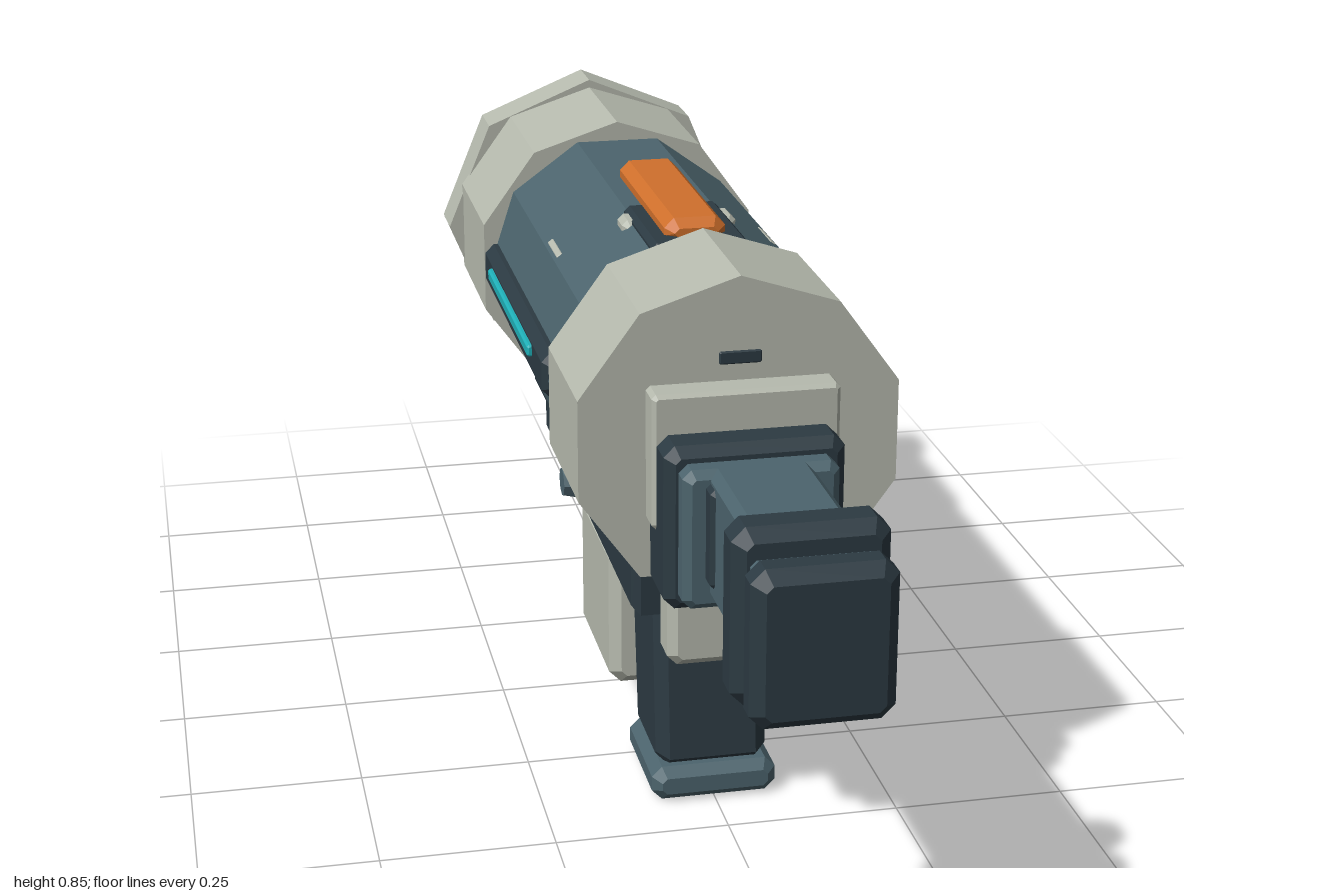
import * as THREE from 'three';

const paint = (name, color) => {
  const m = new THREE.MeshStandardMaterial({ color });
  m.name = name;
  return m;
};

export function createModel() {
  const slate = paint('slate', 0x4c646d), dark = paint('dark slate', 0x2c3a42);
  const grey = paint('warm grey', 0xb6baae), orange = paint('orange', 0xd0702c);
  const teal = paint('teal', 0x1fb0b8);
  const model = new THREE.Group();
  model.name = 'blaster';

  const add = (name, geo, mat) => {
    const mesh = new THREE.Mesh(geo, mat);
    mesh.name = name;
    model.add(mesh);
    return mesh;
  };
  const shapeOf = (pts) => new THREE.Shape(pts.map(([x, y]) => new THREE.Vector2(x, y)));

  // Regular polygon around (0, cy); first corner at the given angle from the top
  const ngon = (n, r, cy, start = 0) => Array.from({ length: n }, (_, i) => {
    const a = start - (i / n) * Math.PI * 2;
    return [r * Math.sin(a), cy + r * Math.cos(a)];
  });

  // Cross-section in x,y pulled along z
  const prism = (name, mat, pts, z0, z1) => {
    const g = new THREE.ExtrudeGeometry(shapeOf(pts), { depth: z1 - z0, bevelEnabled: false });
    return add(name, g.translate(0, 0, z0), mat);
  };

  // Side profile in z,y pulled across x, with chamfered sides
  const profile = (name, mat, pts, halfWidth, b = 0.012) => {
    const g = new THREE.ExtrudeGeometry(shapeOf(pts), {
      depth: 2 * (halfWidth - b), bevelEnabled: b > 0,
      bevelThickness: b, bevelSize: b, bevelOffset: -b, bevelSegments: 1,
    });
    g.translate(0, 0, b - halfWidth).rotateY(-Math.PI / 2);
    return add(name, g, mat);
  };

  // Box given by its limits, with every edge chamfered
  const block = (name, mat, [x0, x1], [y0, y1], [z0, z1], b = 0.012) => {
    const w = (x1 - x0) / 2, h = (y1 - y0) / 2, d = z1 - z0;
    const pts = [[w, b - h], [w, h - b], [w - b, h], [b - w, h],
      [-w, h - b], [-w, b - h], [b - w, -h], [w - b, -h]];
    const g = new THREE.ExtrudeGeometry(shapeOf(pts), {
      depth: d - 2 * b, bevelThickness: b, bevelSize: b * 0.9, bevelOffset: -b * 0.9, bevelSegments: 1,
    });
    g.translate((x0 + x1) / 2, (y0 + y1) / 2, z0 + b);
    return add(name, g, mat);
  };

  // Main tube and its two collars, open at the lowest corner
  const collar = ngon(10, 0.231, 0.603).filter((_, i) => i !== 5);
  prism('bodyTube', slate, ngon(10, 0.211, 0.603, Math.PI / 10), -0.33, 0.32);
  prism('rearCollar', grey, collar, 0.31, 0.54);
  prism('muzzleCollar', grey, collar, -0.58, -0.32);
  prism('muzzleLip', grey, ngon(8, 0.244, 0.603), -0.652, -0.57);
  profile('muzzleKeel', grey, [[-0.36, 0.45], [-0.39, 0.38], [-0.6, 0.36], [-0.6, 0.45]].reverse(), 0.07, 0);

  // Muzzle face, barrel and tip
  prism('muzzleFace', dark, ngon(8, 0.172, 0.603), -0.658, -0.65);
  prism('muzzleGlow', teal, ngon(10, 0.108, 0.585), -0.664, -0.655);
  prism('barrelRing', grey, ngon(8, 0.092, 0.56, Math.PI / 8), -0.7, -0.655);
  prism('barrelRingInset', dark, ngon(8, 0.064, 0.555, Math.PI / 8), -0.708, -0.7);
  prism('barrel', slate, ngon(8, 0.042, 0.55, Math.PI / 8), -0.92, -0.7);
  prism('barrelTip', grey, ngon(8, 0.096, 0.55, Math.PI / 8), -0.988, -0.905);
  prism('tipFace', dark, ngon(8, 0.062, 0.55, Math.PI / 8), -0.994, -0.987);
  prism('tipGlow', teal, ngon(8, 0.042, 0.55, Math.PI / 8), -1, -0.993);

  // Stock
  block('stockPlate', grey, [-0.128, 0.128], [0.5, 0.69], [0.53, 0.583], 0.006);
  block('stockMount', dark, [-0.122, 0.122], [0.405, 0.635], [0.5, 0.64], 0.015);
  block('stockCollar', slate, [-0.105, 0.105], [0.42, 0.615], [0.62, 0.675]);
  block('stockSleeve', dark, [-0.076, 0.076], [0.455, 0.605], [0.66, 0.71]);
  block('stockTube', slate, [-0.07, 0.07], [0.435, 0.615], [0.64, 0.88]);
  block('stockPadInner', dark, [-0.1, 0.1], [0.4, 0.637], [0.86, 0.932], 0.018);
  block('stockPadNeck', slate, [-0.08, 0.08], [0.42, 0.6], [0.92, 0.95], 0.008);
  block('stockPadOuter', dark, [-0.092, 0.092], [0.4, 0.61], [0.937, 1], 0.018);
  block('rearSlot', dark, [-0.029, 0.029], [0.713, 0.731], [0.535, 0.543], 0.002);

  // Receiver below the tube
  profile('receiver', dark, [[0.37, 0.28], [0.37, 0.43], [-0.392, 0.43], [-0.392, 0.29]].reverse(), 0.113);
  profile('receiverShoulder', dark,
    [[0.31, 0.4], [0.31, 0.425], [-0.02, 0.475], [-0.32, 0.43], [-0.32, 0.4]].reverse(), 0.142, 0.01);
  block('rearBracket', grey, [-0.085, 0.085], [0.25, 0.43], [0.415, 0.49], 0.014);

  // Grip with ribs
  profile('grip', dark, [[0.375, 0.32], [0.4, 0.06], [0.385, 0.045], [0.235, 0.045], [0.195, 0.32]], 0.082, 0.018);
  block('gripBase', slate, [-0.092, 0.092], [0, 0.052], [0.225, 0.418], 0.015);
  for (let i = 0; i < 4; i++) {
    const rib = block('gripRib', grey, [-0.006, 0.006], [-0.005, 0.005], [-0.065, 0.065], 0.002);
    rib.position.set(0.082, 0.275 - i * 0.057, 0.282 + i * 0.008);
    rib.rotation.x = 0.1;
  }

  // Magazine
  block('magazine', grey, [-0.113, 0.113], [0.087, 0.31], [-0.055, 0.2], 0.018);
  block('magazinePanel', orange, [0.108, 0.122], [0.155, 0.282], [0, 0.145], 0.004);
  block('magazineSlot', slate, [-0.055, 0.055], [0.145, 0.175], [-0.062, -0.05], 0.004);

  // Top rail
  block('railMount', dark, [-0.07, 0.07], [0.77, 0.812], [0.09, 0.305], 0.008);
  block('railPin', grey, [-0.084, 0.084], [0.778, 0.806], [0.11, 0.16], 0.008);
  block('topRail', orange, [-0.044, 0.044], [0.797, 0.836], [-0.082, 0.272], 0.014);

  // Paired side details
  for (const s of [1, -1]) {
    const span = (a, b) => (s > 0 ? [a, b] : [-b, -a]);
    block('sideRail', dark, span(0.17, 0.219), [0.573, 0.643], [-0.33, 0.255], 0.014);
    block('sideLight', teal, span(0.215, 0.226), [0.608, 0.626], [-0.24, 0.155], 0.003);
    const lug = new THREE.CylinderGeometry(0.022, 0.035, 0.055, 8).toNonIndexed();
    lug.computeVertexNormals();
    const bolt = add('sideBolt', lug, slate);
    bolt.position.set(s * 0.136, 0.377, 0.073);
    bolt.rotation.z = -s * Math.PI / 2;
    const mark = block('bodyMark', grey, [-0.003, 0.003], [-0.005, 0.005], [-0.04, 0.04], 0.001);
    mark.position.set(s * 0.161, 0.732, 0.03);
    mark.rotation.z = s * Math.PI * 0.3;
  }
  return model;
}
